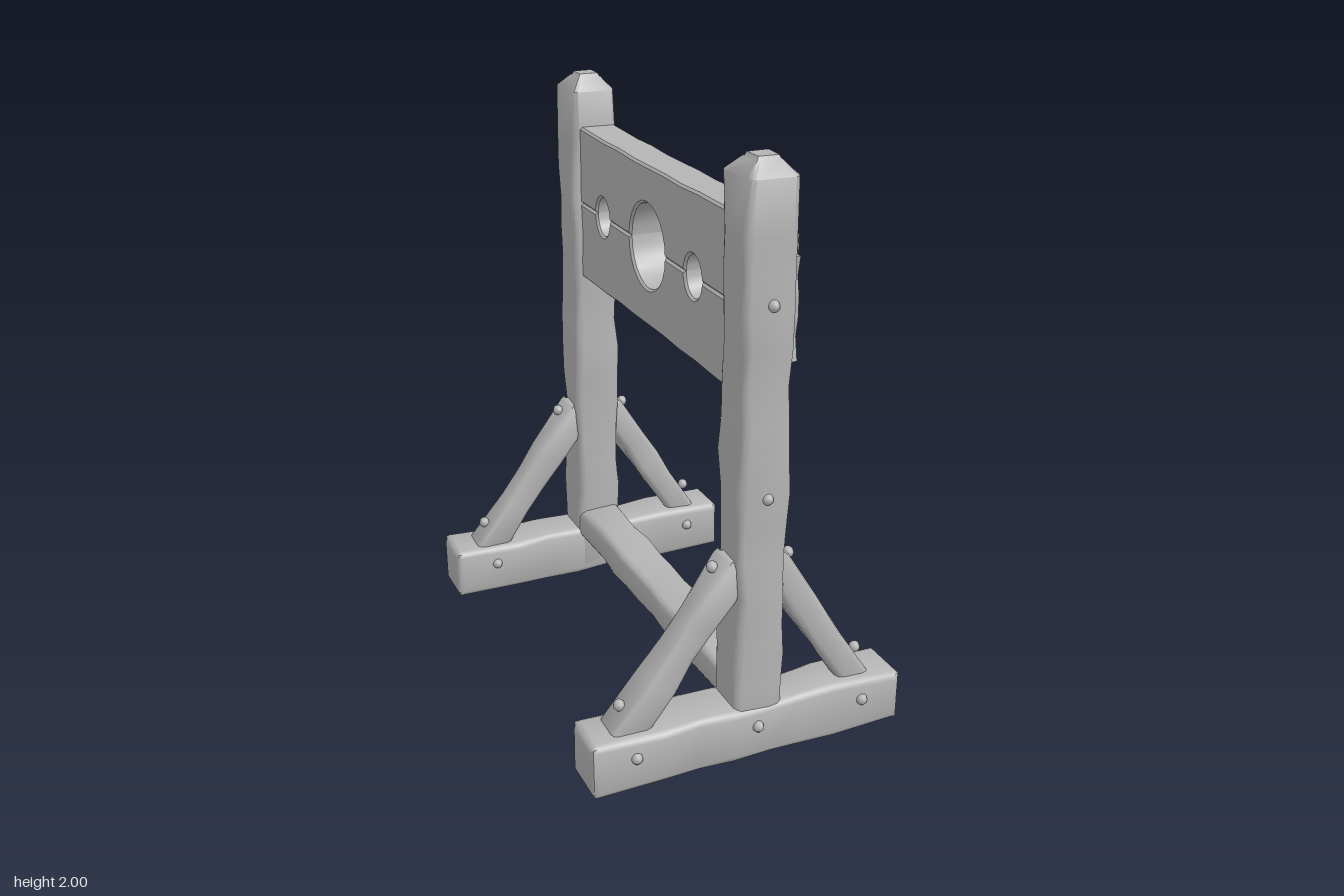
import * as THREE from 'three';
import { toCreasedNormals } from 'three/addons/utils/BufferGeometryUtils.js';

export function createModel() {
  const model = new THREE.Group();
  model.name = 'pillory';
  const grey = new THREE.MeshStandardMaterial({ color: 0xb4b4b4 });
  grey.name = 'weathered grey';

  function add(name, geometry, x = 0, y = 0, z = 0) {
    const mesh = new THREE.Mesh(geometry, grey);
    mesh.name = name;
    mesh.position.set(x, y, z);
    model.add(mesh);
    return mesh;
  }

  // Smooth uneven offset, so hewn timber is never quite straight
  const wobble = (a, b, c) => 0.005 * Math.sin(a * 17 + b * 9 + c * 13) + 0.003 * Math.sin(a * 41 - b * 23 + c * 31);

  // Hewn timber: softened edges, lumpy faces, optional pointed top
  function timber(name, size, centre, pointed = false) {
    const longest = size.indexOf(Math.max(...size));
    const segs = size.map((s, i) => (i === longest ? Math.max(6, Math.round(s / 0.12)) : 3));
    const g = new THREE.BoxGeometry(...size, ...segs);
    const p = g.attributes.position;
    for (let i = 0; i < p.count; i++) {
      const v = [p.getX(i), p.getY(i), p.getZ(i)];
      const top = pointed && v[1] > size[1] / 2 - 1e-5;
      const atEdge = v.map((c, k) => Math.abs(c) > size[k] / 2 - 1e-5);
      const shared = atEdge.filter(Boolean).length > 1;
      const q = v.map((c, k) => {
        const half = size[k] / 2;
        const step = size[k] / segs[k];
        const s = Math.sign(c);
        if (atEdge[k]) return shared ? s * (half - 0.007) : c;
        if (Math.abs(c) > half - step - 1e-5) return s * (half - (pointed && k === 1 && s > 0 ? 0.055 : 0.022));
        return c;
      });
      if (top) {
        q[0] *= 0.55;
        q[2] *= 0.55;
        q[1] = size[1] / 2 - (shared ? 0.012 : 0);
      }
      const [a, b, c] = [q[0] + centre[0], q[1] + centre[1], q[2] + centre[2]];
      const k = atEdge[longest] ? 0.4 : 1;
      p.setXYZ(i,
        q[0] + (longest === 0 ? 0 : k * wobble(a, b, c)),
        q[1] + (longest === 1 ? 0 : k * wobble(b, c, a)),
        q[2] + (longest === 2 ? 0 : k * wobble(c, a, b)));
    }
    return add(name, toCreasedNormals(g, 0.9), ...centre);
  }

  // Round-headed bolt
  const boltGeometry = new THREE.SphereGeometry(0.02, 8, 6);
  const bolt = (x, y, z) => add('bolt', boltGeometry, x, y, z);

  // End frames: foot, post and two braces on each side
  for (const side of [1, -1]) {
    const z = side * 0.69;
    timber('foot', [1.12, 0.19, 0.182], [side * 0.005 - 0.005, 0.1, side * 0.695]);
    timber('post', [0.17, 1.98, 0.17], [0.029, 1.01, z], true);

    for (const [x0, x1, width] of [[-0.06, -0.4, 0.112], [0.115, 0.395, 0.1]]) {
      const dx = x1 - x0, dy = -0.45;
      const brace = timber('brace', [width, Math.hypot(dx, dy) + 0.13, 0.115], [(x0 + x1) / 2, 0.425, z]);
      brace.rotation.z = Math.atan2(-dx, dy) + Math.PI;
    }
    // Bolts on the sloping brace faces
    for (const [x, y] of [[-0.43, 0.27], [-0.11, 0.695], [0.16, 0.69], [0.43, 0.27]]) bolt(x, y, z);
    // Bolts through the foot and the post
    for (const x of [-0.41, 0.02, 0.41]) for (const o of [-0.092, 0.092]) bolt(x, 0.125, side * 0.695 + o);
    for (const y of [0.94, 1.565]) bolt(0.035, y, z + side * 0.083);
  }

  // Low crossbeam between the feet
  timber('crossbeam', [0.155, 0.125, 1.28], [0.027, 0.218, 0]);

  // Two halves of the board, meeting at a seam across the holes
  const seam = 1.537;
  const holes = [[-0.4, 0.06, 0.07], [-0.01, 0.142, 0.147], [0.35, 0.062, 0.072]];
  for (const [name, up, edge] of [['upperBoard', 1, 1.818], ['lowerBoard', -1, 1.252]]) {
    const shape = new THREE.Shape();
    shape.moveTo(-0.63, seam);
    for (const [c, rx, ry] of holes) {
      for (let i = 0; i <= 12; i++) {
        const t = Math.PI * (1 - i / 12);
        shape.lineTo(c + rx * Math.cos(t), seam + up * ry * Math.sin(t));
      }
    }
    shape.lineTo(0.63, seam);
    for (let i = 0; i <= 10; i++) {
      const z = 0.63 - i * 0.126;
      shape.lineTo(z, edge - up * 0.006 * Math.cos(z * 2.4) + 0.002 * Math.sin(z * 19));
    }
    shape.closePath();
    const g = new THREE.ExtrudeGeometry(shape, {
      depth: 0.119, bevelEnabled: true, bevelThickness: 0.008, bevelSize: 0.008, bevelOffset: -0.008, bevelSegments: 1,
    });
    g.rotateY(-Math.PI / 2);
    add(name, toCreasedNormals(g, 0.6), 0.1, 0, 0);
  }

  // Hinge: two leaves with ragged ends and a barrel
  for (const [z, w] of [[0.685, 0.11], [0.58, 0.1]]) {
    const s = Math.sign(z - 0.63);
    const leaf = new THREE.Shape();
    leaf.moveTo(-s * w / 2, -0.165);
    for (const [a, b] of [[0.5, -0.165], [0.38, -0.09], [0.48, -0.03], [0.48, 0.04], [0.38, 0.1], [0.5, 0.165], [-0.5, 0.165]]) {
      leaf.lineTo(s * a * w, b);
    }
    leaf.closePath();
    const g = new THREE.ExtrudeGeometry(leaf, { depth: 0.028, bevelEnabled: false });
    g.rotateY(-Math.PI / 2);
    add('hingeLeaf', g, 0.138, 1.53, z);
    for (const y of [1.43, 1.63]) add('hingeRivet', new THREE.SphereGeometry(0.014, 8, 6), 0.138, y, z + s * 0.012);
  }
  add('hingeBarrel', toCreasedNormals(new THREE.CylinderGeometry(0.033, 0.033, 0.37, 10), 0.7), 0.156, 1.543, 0.628);

  // Hasp: plate, staple loop and hanging ring
  add('haspPlate', new THREE.BoxGeometry(0.03, 0.065, 0.15), 0.122, 1.5, -0.675);
  add('haspTab', new THREE.BoxGeometry(0.025, 0.09, 0.09), 0.121, 1.44, -0.645);
  add('haspStaple', new THREE.TorusGeometry(0.045, 0.014, 8, 16), 0.208, 1.465, -0.69);
  add('haspPin', new THREE.CylinderGeometry(0.016, 0.016, 0.08, 8).rotateZ(Math.PI / 2), 0.145, 1.475, -0.69);
  add('haspRing', new THREE.TorusGeometry(0.06, 0.013, 8, 18).rotateY(Math.PI / 2), 0.205, 1.38, -0.692);

  return model;
}
